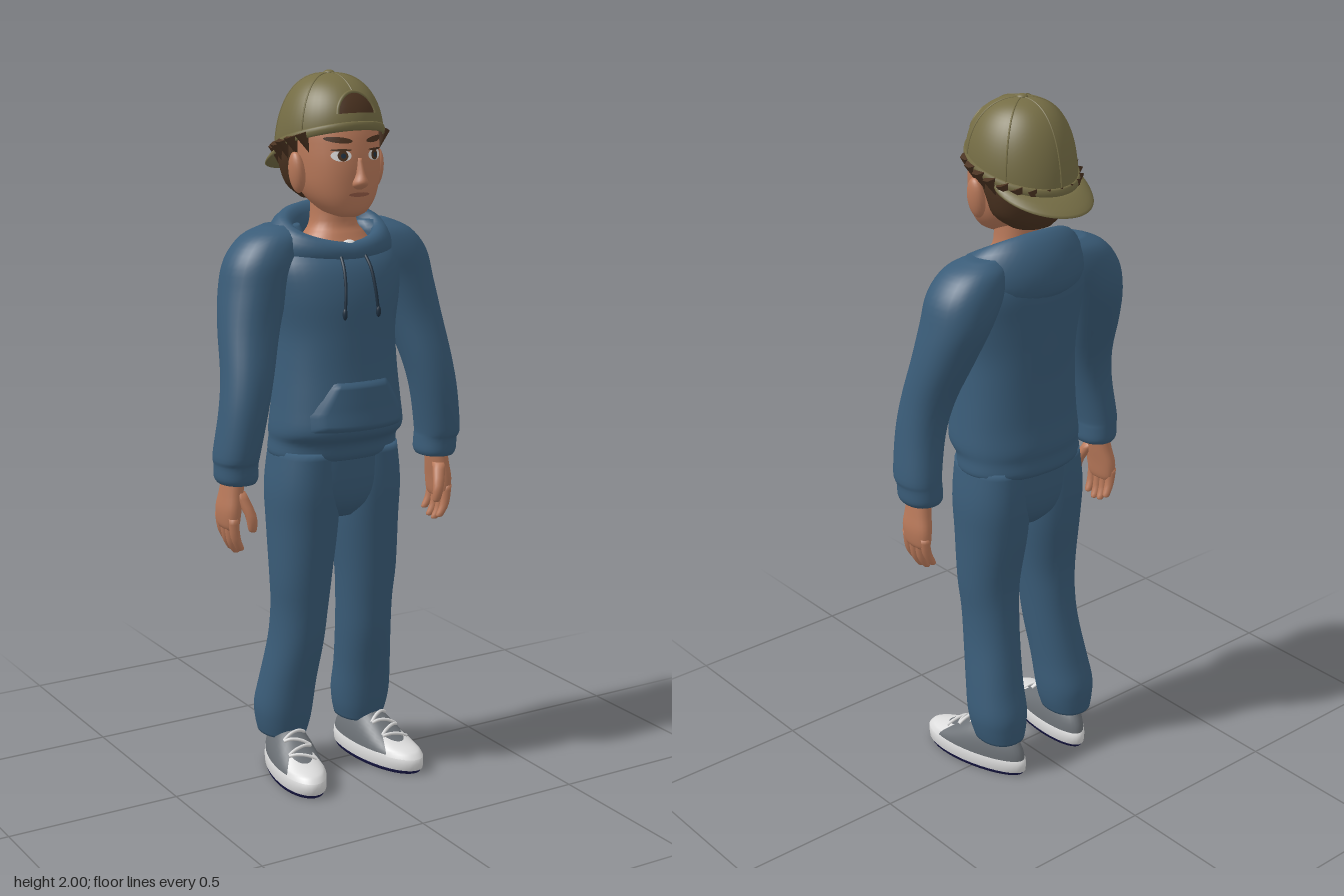
import * as THREE from 'three';

const mat = (name, color, extra = {}) => Object.assign(new THREE.MeshStandardMaterial({ color, ...extra }), { name });
const blue = mat('blue cloth', 0x3a5c78);
const cord = mat('dark cord', 0x1f3040);
const olive = mat('olive cap', 0x756d45);
const skin = mat('skin', 0xb9795a);
const lip = mat('lip', 0x945a45);
const brown = mat('brown hair', 0x4a3220);
const grey = mat('grey canvas', 0x6c7176);
const white = mat('white rubber', 0xdcdcdc);
const navy = mat('navy sole', 0x1c1c50);

const { sin, cos, PI } = Math;

// Surface grid from fn(u, v) with u, v in 0..1; optionally closed in either direction
function grid(fn, nu, nv, closeU = true, closeV = false) {
  const cols = nu + (closeU ? 0 : 1), rows = nv + (closeV ? 0 : 1), pos = [], idx = [];
  for (let j = 0; j < rows; j++) for (let i = 0; i < cols; i++) pos.push(...fn(i / nu, j / nv));
  for (let j = 0; j < nv; j++) for (let i = 0; i < nu; i++) {
    const a = j * cols + i, b = j * cols + (i + 1) % cols;
    const d = ((j + 1) % rows) * cols + i, c = ((j + 1) % rows) * cols + (i + 1) % cols;
    idx.push(a, b, c, a, c, d);
  }
  const g = new THREE.BufferGeometry();
  g.setAttribute('position', new THREE.Float32BufferAttribute(pos, 3));
  g.setIndex(idx);
  g.computeVertexNormals();
  return g;
}

// Smoothly interpolated section [y, cx, cz, rx, rz] at t in 0..1
function ringAt(S, t) {
  const f = t * (S.length - 1), i = Math.min(Math.floor(f), S.length - 2), k = f - i;
  const at = n => S[Math.max(0, Math.min(S.length - 1, n))];
  return S[0].map((_, c) => {
    const [a, b, d, e] = [at(i - 1)[c], at(i)[c], at(i + 1)[c], at(i + 2)[c]];
    return b + 0.5 * k * (d - a + k * (2 * a - 5 * b + 4 * d - e + k * (3 * (b - d) + e - a)));
  });
}
const spow = (v, p) => Math.sign(v) * Math.abs(v) ** (2 / p);

// Closed body through horizontal sections, listed bottom to top; side mirrors it in x
function loft(S, side = 1, p = 2.2, nu = 28, per = 4) {
  const n = (S.length - 1) * per;
  return grid((u, v) => {
    const row = Math.round(v * (n + 2)) - 1, r = ringAt(S, Math.max(0, Math.min(n, row)) / n);
    const k = row < 0 || row > n ? 0 : 1, a = u * 2 * PI;
    return [side * r[1] + k * r[3] * spow(sin(a), p), r[0], r[2] + k * r[4] * spow(cos(a), p)];
  }, nu, n + 2);
}

// Front surface depth of a loft at (x, y)
function frontZ(S, x, y, p = 2.2) {
  let lo = 0, hi = 1;
  for (let i = 0; i < 24; i++) { const m = (lo + hi) / 2; if (ringAt(S, m)[0] < y) lo = m; else hi = m; }
  const r = ringAt(S, lo);
  return r[2] + r[4] * Math.max(0, 1 - Math.abs(x / r[3]) ** p) ** (1 / p);
}

const TORSO = [[.945, 0, .015, .18, .125], [.96, 0, .015, .19, .135], [.995, 0, .02, .188, .138], [1.03, 0, .036, .192, .158],
  [1.1, 0, .037, .185, .152], [1.2, 0, .032, .176, .147], [1.3, 0, .027, .173, .147], [1.4, 0, .022, .19, .147],
  [1.48, 0, .008, .2, .138], [1.53, 0, -.008, .18, .112], [1.555, 0, -.01, .12, .075]];
const ARM = [[.905, .324, .05, .05, .06], [.92, .325, .05, .057, .067], [.955, .326, .052, .057, .068], [.985, .327, .058, .06, .073],
  [1.1, .308, .065, .064, .073], [1.2, .288, .052, .07, .077], [1.32, .262, .015, .082, .088], [1.42, .235, -.008, .092, .1],
  [1.5, .205, -.012, .102, .1], [1.56, .172, -.015, .085, .082], [1.59, .14, -.02, .05, .045]];
const LEG = [[.11, .13, -.05, .066, .078], [.15, .13, -.046, .076, .085], [.2, .13, -.04, .081, .09], [.28, .125, -.022, .078, .087],
  [.4, .113, .003, .075, .088], [.5, .108, .015, .077, .088], [.6, .107, .022, .085, .093], [.75, .1, .018, .096, .11],
  [.86, .1, .018, .098, .119], [.97, .095, .02, .09, .115]];
const HEAD = [[1.614, 0, .095, .025, .03], [1.628, 0, .08, .058, .065], [1.66, 0, .06, .088, .096], [1.7, 0, .04, .107, .121],
  [1.75, 0, .02, .117, .143], [1.8, 0, .006, .121, .152], [1.85, 0, 0, .12, .146], [1.9, 0, 0, .1, .12], [1.94, 0, 0, .05, .06]];

// Point on the cap dome: azimuth from the front, s = 0 rim .. 1 crown, tilted down at the back
function dome(az, s, g = 1) {
  const e = s * PI / 2, r = Math.max(0, cos(e)) ** .8 * g, h = sin(e), z = .16 * r * cos(az);
  return [.143 * r * sin(az), 1.805 + .187 * h * g + .28 * z * (1 - h), z];
}

// Point on the shoe upper: angle from the toe, c = 1 edge .. 0 centre
function upper(a, c, g = 1) {
  const z = .04 + .178 * c * cos(a), k = THREE.MathUtils.smoothstep(.17 - z, 0, .2);
  return [(.066 + .008 * cos(a)) * c * sin(a) * g, .045 + (.035 + .075 * k) * g * Math.sqrt(Math.max(0, 1 - c * c)), .04 + (z - .04) * g];
}

const tube = (pts, r, n = 20) => new THREE.TubeGeometry(new THREE.CatmullRomCurve3(pts.map(p => new THREE.Vector3(...p))), n, r, 8);

export function createModel() {
  const model = new THREE.Group();
  model.name = 'boyInHoodie';
  const add = (name, geo, material, parent = model) => {
    const m = new THREE.Mesh(geo, material);
    m.name = name;
    parent.add(m);
    return m;
  };
  const ball = (name, material, p, s) => {
    const m = add(name, new THREE.SphereGeometry(1, 20, 14), material);
    m.position.set(...p);
    m.scale.set(...s);
    return m;
  };

  // Hoodie body, hood and front pocket
  add('hoodieBody', loft(TORSO, 1, 2.2, 40), blue);
  add('hood', grid((u, v) => {
    const a = u * 2 * PI, b = v * 2 * PI, w = (1 - cos(a)) / 2;
    const r = (.025 + .025 * w) * cos(b) - .02 * w * sin(b);
    return [(.15 + r) * sin(a), 1.515 + .04 * w ** .6 + (.03 + .06 * w) * sin(b), .01 + (.1 + r) * cos(a)];
  }, 48, 16, true, true), blue);
  add('pocket', grid((u, v) => {
    const y = 1.035 + .14 * v, x = (2 * u - 1) * (v < .35 ? .15 : .15 - .065 * (v - .35) / .65);
    const edge = Math.min(1, 10 * Math.min(u, 1 - u, v, 1 - v));
    return [x, y, frontZ(TORSO, x, y) - .003 + .013 * edge];
  }, 30, 20, false), blue);
  ball('undershirt', white, [0, 1.537, .105], [.022, .014, .015]);

  // Trousers seat
  add('trouserSeat', loft([[.77, 0, .018, .07, .07], [.81, 0, .018, .14, .105], [.87, 0, .018, .188, .12], [.97, 0, .018, .182, .122]]), blue);

  // Neck, head and nose
  add('neck', loft([[1.54, 0, .025, .105, .085], [1.565, 0, .025, .085, .07], [1.6, 0, .02, .064, .06], [1.7, 0, .02, .06, .06]]), skin);
  add('head', loft(HEAD, 1, 2.2, 40), skin);
  add('nose', loft([[1.692, 0, .15, .012, .015], [1.7, 0, .155, .022, .024], [1.712, 0, .158, .022, .031], [1.735, 0, .155, .013, .025],
    [1.775, 0, .148, .009, .017]], 1, 2, 16), skin);

  // Flat facial features laid on the head surface
  const decal = (name, material, x, y, w, h, tilt, off) => add(name, grid((u, v) => {
    const a = u * 2 * PI, dx = w * (1 - v) * cos(a), px = x + dx, py = y + h * (1 - v) * sin(a) + tilt * dx;
    return [px, py, frontZ(HEAD, px, py) + off];
  }, 20, 4), material);
  decal('mouth', lip, 0, 1.678, .032, .006, 0, .003);
  for (const k of [1, -1]) {
    decal('eyeWhite', white, k * .051, 1.782, .025, .015, 0, .003);
    decal('iris', brown, k * .049, 1.782, .013, .014, 0, .005);
    decal('pupil', cord, k * .049, 1.782, .006, .007, 0, .007);
    decal('upperLid', brown, k * .052, 1.797, .026, .003, 0, .006);
    decal('eyebrow', brown, k * .055, 1.823, .034, .008, k * .1, .005);
    ball('ear', skin, [k * .124, 1.733, .04], [.02, .056, .03]).rotation.z = -k * .12;
  }

  // Hair with tufts below the cap rim
  add('hair', loft([[1.655, 0, -.035, .06, .055], [1.69, 0, -.03, .105, .082], [1.74, 0, -.03, .124, .1], [1.79, 0, -.022, .13, .118],
    [1.83, 0, -.01, .125, .12]]), brown);
  for (let i = 0; i < 17; i++) {
    const az = 1.05 + i * (2 * PI - 2.1) / 16, [x, y, z] = dome(az, 0, .96);
    const tuft = add('hairTuft', new THREE.ConeGeometry(.02, .055, 6), brown);
    tuft.position.set(x, y - .012, z);
    tuft.rotation.set(PI - .35 * cos(az), 0, .35 * sin(az));
  }

  // Backwards cap: crown, rim, seams, button, brim and front opening
  add('capCrown', grid((u, v) => dome(u * 2 * PI, v), 48, 20), olive);
  add('capRim', grid((u, v) => {
    const a = u * 2 * PI, b = v * 2 * PI, [x, y, z] = dome(a, 0, 1 + .03 * cos(b));
    return [x, y + .01 + .012 * sin(b), z];
  }, 48, 8, true, true), olive);
  const arc = (az, s0) => Array.from({ length: 9 }, (_, i) => dome(az, s0 + (.98 - s0) * i / 8));
  for (const [az, s0] of [[0, .5], [PI, 0], [1.1, 0], [-1.1, 0], [2.1, 0], [-2.1, 0]]) add('capSeam', tube(arc(az, s0), .0025), olive);
  ball('capButton', olive, [0, 1.991, 0], [.016, .009, .016]);
  add('capBrim', grid((u, v) => {
    const k = 2 * u - 1, az = PI + k * 1.3, b = v * 2 * PI, [x, y, z] = dome(az, 0, .97);
    const out = .07 * Math.max(0, cos(k * PI / 2)) ** .6 * (.5 - .5 * cos(b));
    return [x + out * sin(az) * .6, y - .62 * out - .008 * sin(b), z + out * cos(az)];
  }, 32, 12, false, true), olive);
  add('capOpeningHair', grid((u, v) => {
    const a = u * PI, c = 1 - v;
    return dome(.42 * c * cos(a), .2 + .28 * c * sin(a), 1.015);
  }, 24, 6, false), brown);
  add('capOpeningEdge', tube(Array.from({ length: 13 }, (_, i) => dome(.43 * cos(i * PI / 12), .2 + .29 * sin(i * PI / 12), 1.01)), .005, 32), olive);

  for (const k of [1, -1]) {
    const tag = k > 0 ? 'left' : 'right';
    add(tag + 'Sleeve', loft(ARM, k), blue);
    add(tag + 'TrouserLeg', loft(LEG, k), blue);

    // Drawstring with end knot
    const line = [[.036, 1.525], [.042, 1.48], [.047, 1.42], [.053, 1.36]].map(([x, y]) => [k * x, y, frontZ(TORSO, x, y) + .006]);
    add(tag + 'Drawstring', tube(line, .0045), cord);
    ball(tag + 'DrawstringEnd', cord, line[3], [.007, .016, .007]);

    // Hand with four fingers and a thumb
    add(tag + 'Palm', loft([[.775, .345, .04, .016, .042], [.79, .346, .04, .022, .05], [.83, .345, .042, .027, .053], [.875, .338, .045, .028, .045],
      [.93, .33, .048, .028, .036]], k, 2.3, 20), skin);
    for (let i = 0; i < 4; i++) {
      const z = .002 + i * .026, low = [.725, .708, .704, .716][i];
      add(tag + 'Finger', loft([[low, .328, z - .004, .005, .005], [low + .006, .329, z - .003, .011, .011], [low + .04, .344, z, .0135, .0135],
        [.81, .35, z, .015, .015]], k, 2, 10, 3), skin);
    }
    add(tag + 'Thumb', loft([[.77, .301, .1, .005, .005], [.778, .302, .1, .012, .012], [.82, .308, .1, .016, .016], [.88, .328, .07, .019, .02]], k, 2, 12, 3), skin);

    // Shoe with sole, rubber band, toe cap and laces
    const shoe = new THREE.Group();
    shoe.name = tag + 'Shoe';
    shoe.position.x = k * .135;
    shoe.rotation.y = k * .17;
    model.add(shoe);
    const band = prof => grid((u, v) => {
      const [c, y] = prof[Math.round(v * (prof.length - 1))], p = upper(u * 2 * PI, c);
      return [p[0], y, p[2]];
    }, 36, prof.length - 1);
    add('sole', band([[0, 0], [.97, 0], [1.01, .012]]), navy, shoe);
    add('rubberBand', band([[.97, .01], [1.02, .011], [1.03, .03], [1.02, .046], [.95, .054]]), white, shoe);
    add('shoeUpper', grid((u, v) => upper(u * 2 * PI, cos(v * PI / 2)), 36, 12), grey, shoe);
    add('toeCap', grid((u, v) => upper((2 * u - 1) * .95, 1 - .42 * v, 1.025), 20, 8, false), white, shoe);
    for (let i = 0; i < 4; i++) {
      const z = .045 + i * .024;
      const pts = [-.036, -.018, 0, .018, .036].map(x => {
        const dx = x / .068, dz = (z + x * (i % 2 ? .3 : -.3) - .04) / .178;
        const p = upper(Math.atan2(dx, dz), Math.hypot(dx, dz));
        return [p[0], p[1] + .004, p[2]];
      });
      add('lace', tube(pts, .005, 12), white, shoe);
    }
  }
  return model;
}
